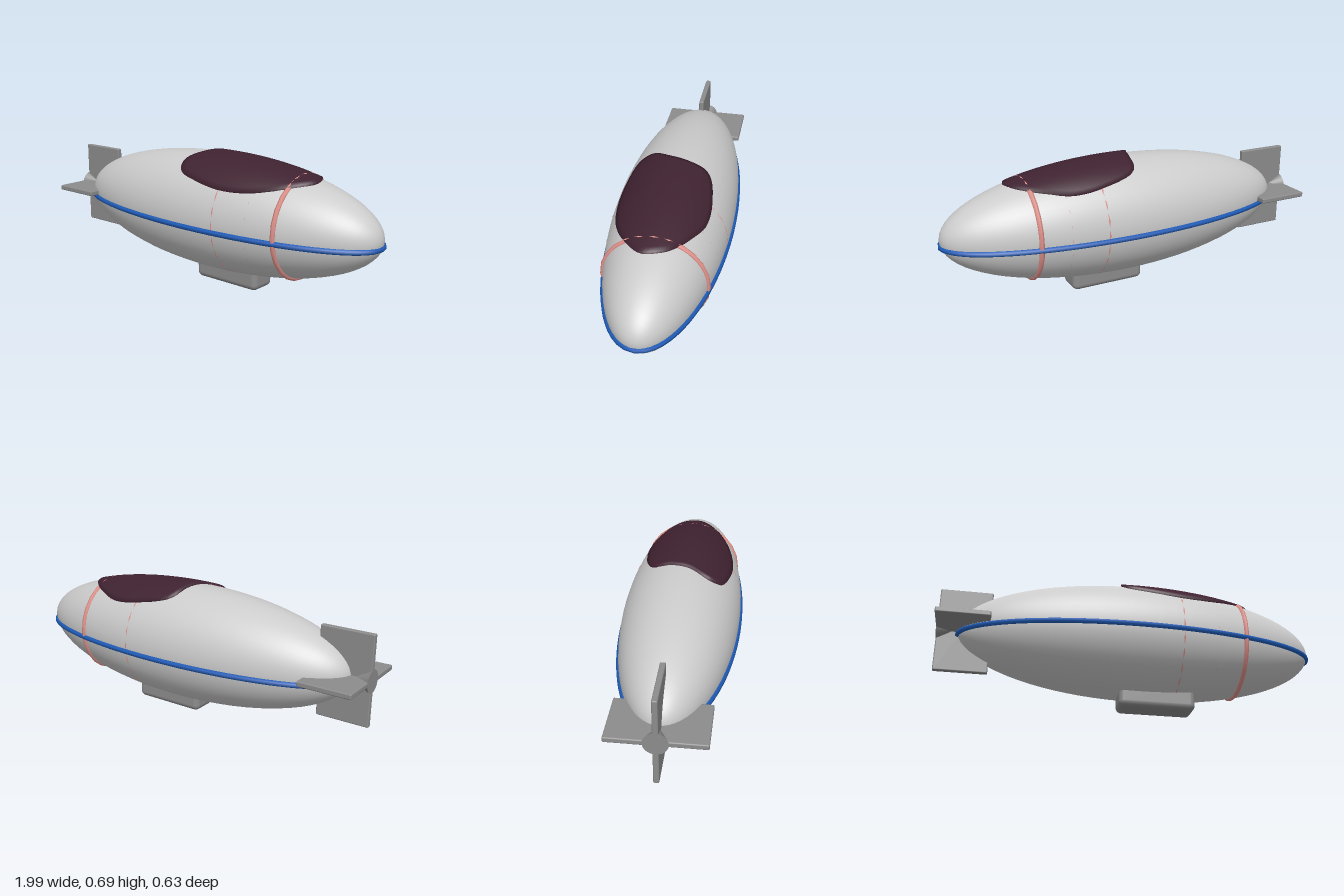
import * as THREE from 'three';
import { RoundedBoxGeometry } from 'three/addons/geometries/RoundedBoxGeometry.js';

const CX = 0.04, CY = 0.373, LEN = 0.94, RAD = 0.303; // hull ellipsoid

const paint = (color) => new THREE.MeshStandardMaterial({ color });
const hullRadius = (x) => RAD * Math.sqrt(Math.max(0, 1 - ((x - CX) / LEN) ** 2));

export function createModel() {
  const group = new THREE.Group();
  const grey = paint(0xcccccc), dark = paint(0x8c8c8c);
  const blue = paint(0x1f5cb8), pink = paint(0xe0918a), maroon = paint(0x3f2230);
  maroon.side = THREE.DoubleSide;

  const add = (name, geometry, material, x = 0, y = 0, z = 0) => {
    const mesh = new THREE.Mesh(geometry, material);
    mesh.name = name;
    mesh.position.set(x, y, z);
    group.add(mesh);
    return mesh;
  };

  // Hull: a long ellipsoid with its poles at nose and tail
  const hull = new THREE.SphereGeometry(1, 48, 40);
  hull.rotateZ(-Math.PI / 2);
  hull.scale(LEN, RAD, RAD);
  add('hull', hull, grey, CX, CY, 0);

  // Stripe around the waist, from nose to tail
  const waist = [];
  for (let i = 0; i < 32; i++) {
    const a = (i / 32) * Math.PI * 2;
    waist.push(new THREE.Vector3(LEN * 0.996 * Math.cos(a), 0, RAD * 0.996 * Math.sin(a)));
  }
  const waistCurve = new THREE.CatmullRomCurve3(waist, true);
  add('waistStripe', new THREE.TubeGeometry(waistCurve, 96, 0.014, 6, true), blue, CX, 0.345, 0);

  // Bands: the front one stands proud, the others are nearly sunk in the skin
  [
    ['frontBand', 0.56, 0, 0.013],
    ['middleBand', 0.41, -0.003, 0.0035],
    ['rearBand', 0.225, -0.002, 0.004],
  ].forEach(([name, x, offset, tube]) => {
    const ring = new THREE.TorusGeometry(hullRadius(x) + offset, tube, 6, 24);
    ring.rotateY(Math.PI / 2);
    add(name, ring, pink, x, CY, 0);
  });

  // Patch: an uneven outline (x, z) laid over the top of the hull
  const outline = new THREE.CatmullRomCurve3([
    [0.22, -0.205], [0.03, -0.155], [0, -0.05], [-0.025, 0.04], [-0.075, 0.14],
    [-0.05, 0.2], [0.06, 0.23], [0.245, 0.24], [0.43, 0.205], [0.57, 0.13],
    [0.645, 0.04], [0.625, -0.05], [0.57, -0.11], [0.485, -0.16], [0.38, -0.2],
  ].map(([x, z]) => new THREE.Vector3(x, 0, z)), true);
  const RINGS = 14, STEPS = 72;
  const centre = new THREE.Vector3(0.28, 0, 0);
  const positions = [], indices = [];
  for (let r = 0; r <= RINGS; r++) {
    // the last ring repeats the edge and tucks under the skin
    const t = Math.min(1, r / (RINGS - 1));
    const lift = r === RINGS ? -0.01 : 0.011;
    for (let s = 0; s < STEPS; s++) {
      const p = outline.getPoint(s / STEPS).lerp(centre, 1 - t);
      const radius = hullRadius(p.x);
      const y = Math.sqrt(Math.max(0, radius * radius - p.z * p.z));
      const k = (radius + lift) / radius;
      positions.push(p.x, CY + y * k, p.z * k);
      if (r < RINGS) {
        const a = r * STEPS + s, b = r * STEPS + ((s + 1) % STEPS);
        indices.push(a, b, a + STEPS, b, b + STEPS, a + STEPS);
      }
    }
  }
  const patch = new THREE.BufferGeometry();
  patch.setAttribute('position', new THREE.Float32BufferAttribute(positions, 3));
  // wind the faces so they look up and outwards
  for (let i = 0; i < indices.length; i += 3) {
    [indices[i + 1], indices[i + 2]] = [indices[i + 2], indices[i + 1]];
  }
  patch.setIndex(indices);
  patch.computeVertexNormals();
  const normals = patch.attributes.normal;
  for (let s = 0; s < STEPS; s++) normals.setXYZ(s, 0, 1, 0);
  if (normals.getY(STEPS * 4) < 0) {
    patch.setIndex(indices.slice().reverse());
    patch.computeVertexNormals();
    for (let s = 0; s < STEPS; s++) patch.attributes.normal.setXYZ(s, 0, 1, 0);
  }
  add('topPatch', patch, maroon);

  // Gondola under the belly
  add('gondola', new RoundedBoxGeometry(0.396, 0.16, 0.15, 4, 0.03), dark, 0.13, 0.08, 0);

  // Tail: two crossed plates and a flared cone
  add('verticalFins', new RoundedBoxGeometry(0.27, 0.456, 0.027, 2, 0.006), dark, -0.865, CY, 0);
  add('horizontalFins', new RoundedBoxGeometry(0.27, 0.027, 0.456, 2, 0.006), dark, -0.865, CY, 0);
  const cone = new THREE.ConeGeometry(0.058, 0.11, 24);
  cone.rotateZ(-Math.PI / 2);
  add('tailCone', cone, dark, -0.945, CY, 0);

  return group;
}
